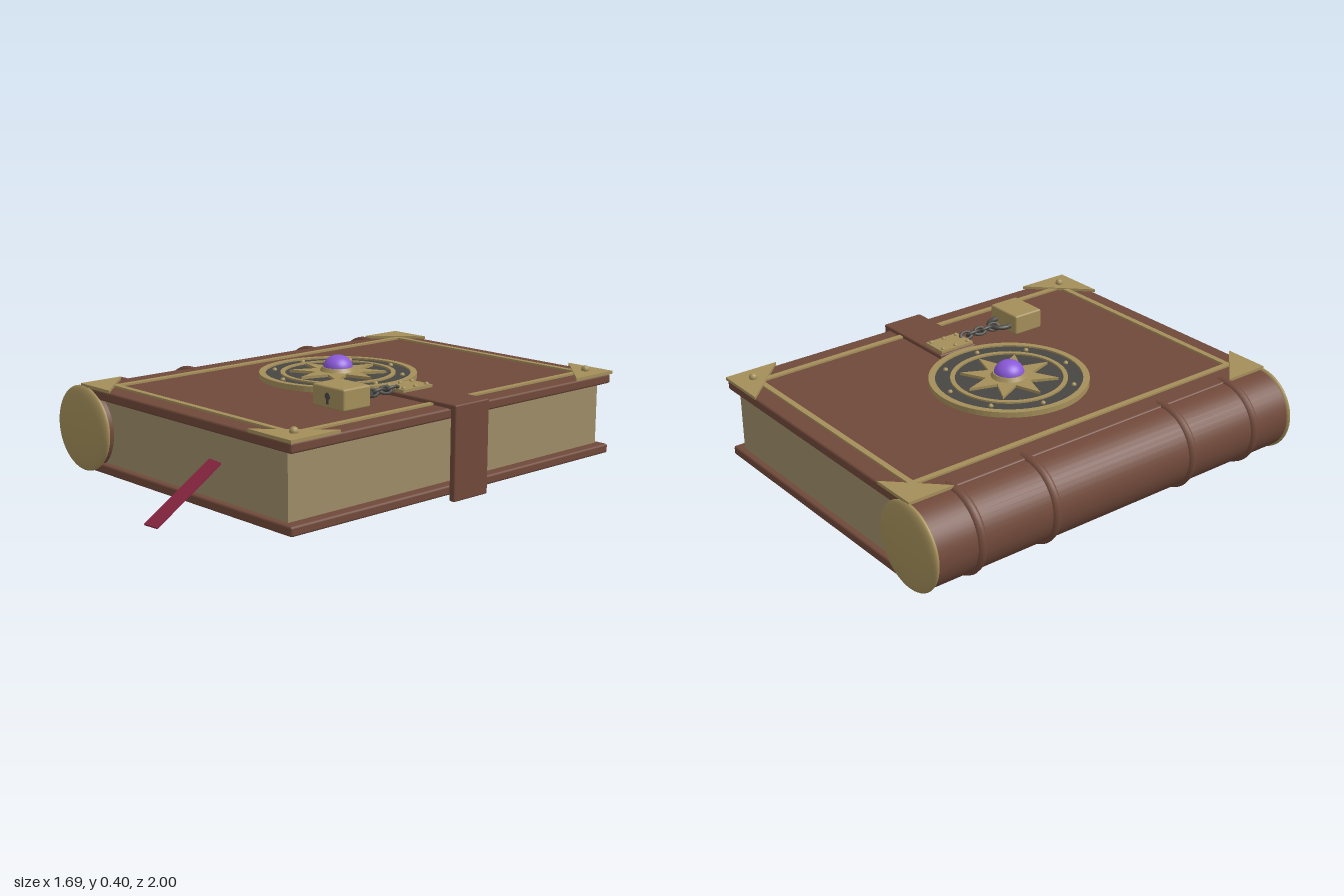
import * as THREE from 'three';
import { RoundedBoxGeometry } from 'three/addons/geometries/RoundedBoxGeometry.js';

const mat = (name, color) => {
  const m = new THREE.MeshStandardMaterial({ color });
  m.name = name;
  return m;
};

export function createModel() {
  const leather = mat('leather', 0x70493a);
  const gold = mat('aged gold', 0xa48f5a);
  const paper = mat('paper', 0x9e8c68);
  const iron = mat('dark iron', 0x474642);
  const violet = mat('violet gem', 0x8a58d8);
  const crimson = mat('crimson ribbon', 0x862440);

  const root = new THREE.Group();
  const book = new THREE.Group();
  book.name = 'book';
  book.rotation.y = -Math.PI / 10;
  book.position.set(0.018, 0, -0.054);
  root.add(book);

  const add = (name, geo, material, x = 0, y = 0, z = 0, parent = book) => {
    const m = new THREE.Mesh(geo, material);
    m.name = name;
    m.position.set(x, y, z);
    parent.add(m);
    return m;
  };
  // Box given by its limits
  const slab = (name, material, x0, x1, y0, y1, z0, z1, r = 0) => {
    const s = [x1 - x0, y1 - y0, z1 - z0];
    const geo = r ? new RoundedBoxGeometry(...s, 2, r) : new THREE.BoxGeometry(...s);
    return add(name, geo, material, (x0 + x1) / 2, (y0 + y1) / 2, (z0 + z1) / 2);
  };
  // Shape laid flat, rising by h
  const flat = (shape, h) =>
    new THREE.ExtrudeGeometry(shape, { depth: h, bevelEnabled: false, curveSegments: 32 }).rotateX(-Math.PI / 2);
  const polygon = (pts) => new THREE.Shape(pts.map(([x, y]) => new THREE.Vector2(x, y)));
  const rect = (x, y) => [[-x, -y], [x, -y], [x, y], [-x, y]];
  const ring = (outer, inner) => {
    const s = new THREE.Shape().absarc(0, 0, outer, 0, Math.PI * 2);
    s.holes.push(new THREE.Path().absarc(0, 0, inner, 0, Math.PI * 2, true));
    return s;
  };
  const rivet = (r) => new THREE.SphereGeometry(r, 12, 8);

  // Covers and page block
  slab('bottomCover', leather, -0.5, 0.612, 0.018, 0.052, -0.773, 0.773, 0.008);
  slab('topCover', leather, -0.5, 0.612, 0.28, 0.316, -0.773, 0.773, 0.008);
  slab('pages', paper, -0.48, 0.57, 0.05, 0.282, -0.75, 0.75);

  // Rounded spine with raised bands and end caps
  const spineX = -0.5, spineY = 0.165;
  add('spine', new THREE.CylinderGeometry(0.147, 0.147, 1.54, 48).rotateX(Math.PI / 2), leather, spineX, spineY, 0);
  for (const z of [-0.6, -0.3, 0.3, 0.6])
    add('spineBand', new THREE.TorusGeometry(0.139, 0.019, 10, 48), leather, spineX, spineY, z);
  for (const s of [-1, 1])
    add('spineCap', new THREE.SphereGeometry(0.154, 40, 24).scale(1, 1, 0.18), gold, spineX, spineY, s * 0.774);

  // Gilt border
  const border = polygon(rect(0.48, 0.705));
  border.holes.push(polygon(rect(0.459, 0.684)));
  add('border', flat(border, 0.008), gold, 0.06, 0.315, 0);

  // Corner plates, riveted on the opening side
  for (const s of [-1, 1]) {
    const corner = (x, leg) => polygon([[x, s * 0.777], [x - Math.sign(x) * leg, s * 0.777], [x, s * (0.777 - Math.abs(leg))]]);
    add('outerCorner', flat(corner(0.616, 0.205), 0.011), gold, 0, 0.315, 0);
    add('spineCorner', flat(corner(-0.508, 0.172), 0.011), gold, 0, 0.315, 0);
    add('cornerRivet', rivet(0.015), gold, 0.548, 0.331, s * 0.705);
  }

  // Medallion: dark disc, rings, star and gem
  const medal = new THREE.Group();
  medal.name = 'medallion';
  medal.position.set(-0.018, 0.314, 0);
  book.add(medal);
  add('medallionDisc', new THREE.CylinderGeometry(0.275, 0.275, 0.016, 64), iron, 0, 0.008, 0, medal);
  add('outerRing', flat(ring(0.285, 0.262), 0.022), gold, 0, 0, 0, medal);
  add('innerRing', flat(ring(0.208, 0.192), 0.022), gold, 0, 0, 0, medal);
  const starPoints = [];
  for (let i = 0; i < 16; i++) {
    const r = i % 2 ? 0.085 : 0.175, a = (i * Math.PI) / 8;
    starPoints.push([r * Math.cos(a), r * Math.sin(a)]);
  }
  add('star', flat(polygon(starPoints), 0.012), gold, 0, 0.014, 0, medal);
  for (let i = 0; i < 8; i++) {
    const a = (i * Math.PI) / 4 + 0.15;
    add('medallionRivet', rivet(0.009), gold, 0.235 * Math.cos(a), 0.017, 0.235 * Math.sin(a), medal);
  }
  add('gemCollar', new THREE.CylinderGeometry(0.058, 0.068, 0.018, 32), gold, 0, 0.031, 0, medal);
  add('gem', new THREE.SphereGeometry(0.054, 32, 16, 0, Math.PI * 2, 0, Math.PI / 2).scale(1, 0.85, 1), violet, 0, 0.036, 0, medal);

  // Closing strap folded over the fore edge
  slab('strapTop', leather, 0.28, 0.641, 0.312, 0.331, -0.082, 0.082, 0.006);
  slab('strapSide', leather, 0.616, 0.641, 0.0, 0.331, -0.082, 0.082, 0.006);

  // Riveted hasp plate
  slab('haspPlate', gold, 0.287, 0.388, 0.33, 0.341, -0.07, 0.072);
  for (const x of [0.301, 0.374])
    for (const z of [-0.055, 0.001, 0.057])
      add('haspRivet', rivet(0.008), gold, x, 0.342, z);

  // Chain of alternating links
  for (let i = 0; i < 5; i++) {
    const link = add('chainLink', new THREE.TorusGeometry(0.017, 0.006, 8, 20).scale(0.85, 1.4, 1).rotateX(Math.PI / 2),
      iron, 0.347, 0.341, 0.085 + i * 0.032);
    link.rotation.z = i % 2 ? -0.75 : 0.75;
  }

  // Padlock resting on the cover
  const shackle = add('shackle', new THREE.TorusGeometry(0.042, 0.009, 10, 28, Math.PI).rotateX(-Math.PI / 2), iron, 0.349, 0.345, 0.25);
  shackle.scale.z = 1.1;
  for (const s of [-1, 1])
    add('shackleLeg', new THREE.CylinderGeometry(0.009, 0.009, 0.03, 10).rotateX(Math.PI / 2), iron, 0.349 + s * 0.042, 0.345, 0.26);
  slab('padlock', gold, 0.272, 0.426, 0.318, 0.393, 0.262, 0.384, 0.007);
  add('keyhole', new THREE.CylinderGeometry(0.012, 0.012, 0.004, 20).rotateX(Math.PI / 2), iron, 0.349, 0.36, 0.385);
  slab('keyholeSlot', iron, 0.344, 0.354, 0.333, 0.358, 0.383, 0.387);

  // Ribbon bookmark slanting out of the pages
  const start = new THREE.Vector3(0.212, 0.185, 0.735);
  const end = new THREE.Vector3(0.236, 0.022, 1.026);
  const ribbon = add('ribbon', new THREE.BoxGeometry(0.06, 0.006, start.distanceTo(end)), crimson);
  ribbon.position.copy(start).add(end).multiplyScalar(0.5);
  ribbon.rotation.order = 'YXZ';
  ribbon.rotation.y = Math.atan2(end.x - start.x, end.z - start.z);
  ribbon.rotation.x = Math.atan2(start.y - end.y, end.z - start.z);

  return root;
}
